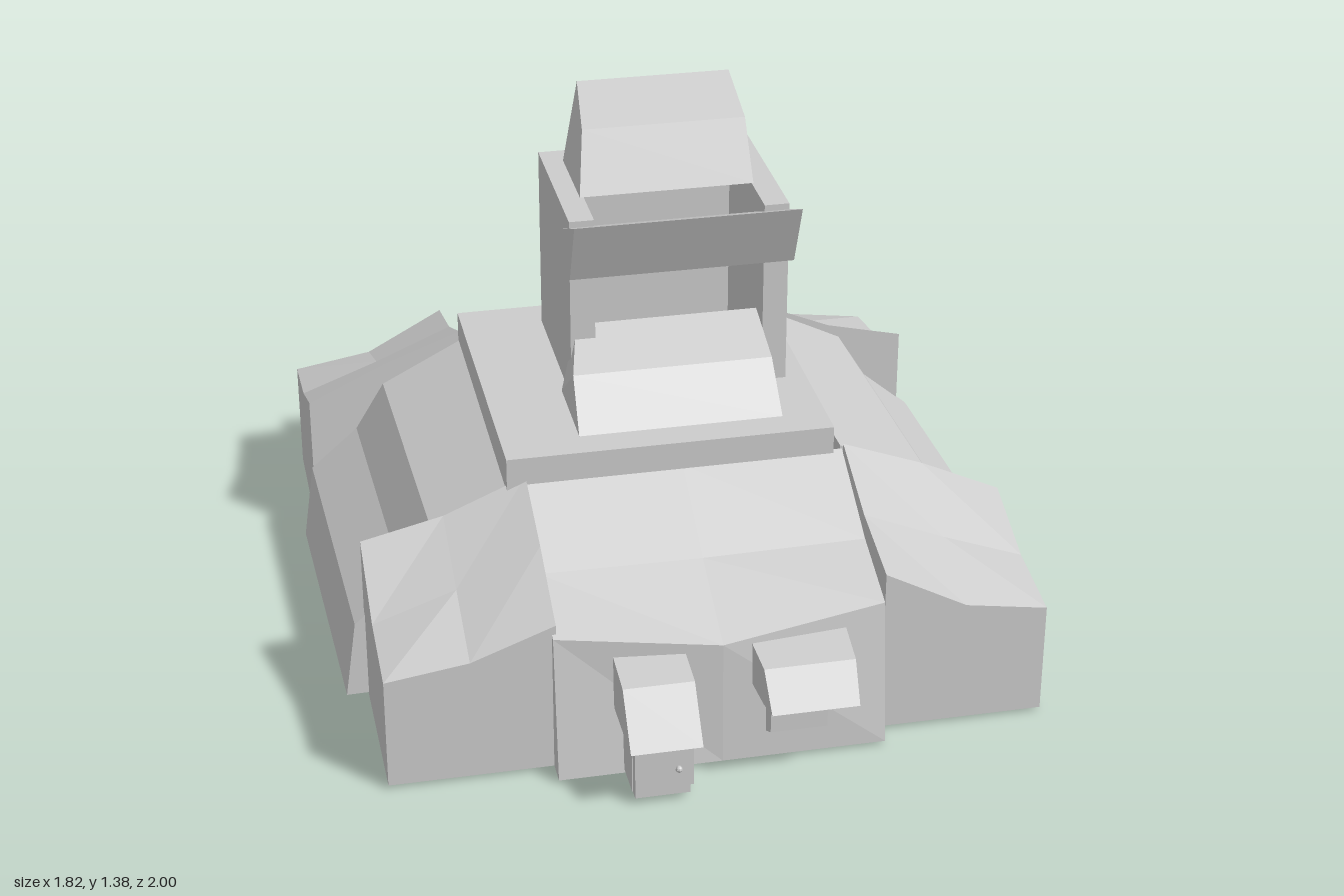
import * as THREE from 'three';

const material = new THREE.MeshStandardMaterial({ color: 0xcccccc, flatShading: true, side: THREE.DoubleSide });

function addMesh(parent, name, geometry, x = 0, y = 0, z = 0) {
  const mesh = new THREE.Mesh(geometry, material);
  mesh.name = name;
  mesh.position.set(x, y, z);
  parent.add(mesh);
  return mesh;
}

// Box given by its limits on each axis
function addBox(parent, name, [x0, x1], [y0, y1], [z0, z1]) {
  return addMesh(parent, name, new THREE.BoxGeometry(x1 - x0, y1 - y0, z1 - z0),
    (x0 + x1) / 2, (y0 + y1) / 2, (z0 + z1) / 2);
}

// Closed solid through rings of [x, y, z], running towards +x
function loft(rings) {
  const out = [];
  const tri = (a, b, c) => out.push(...a, ...b, ...c);
  const n = rings[0].length;
  for (let i = 0; i < rings.length - 1; i++) {
    for (let j = 0; j < n; j++) {
      const k = (j + 1) % n;
      const [a, b, c, d] = [rings[i][j], rings[i][k], rings[i + 1][k], rings[i + 1][j]];
      tri(a, b, c);
      tri(a, c, d);
    }
  }
  const first = rings[0], last = rings[rings.length - 1];
  for (let k = 1; k < n - 1; k++) {
    tri(first[0], first[k + 1], first[k]);
    tri(last[0], last[k], last[k + 1]);
  }
  const geometry = new THREE.BufferGeometry();
  geometry.setAttribute('position', new THREE.Float32BufferAttribute(out, 3));
  geometry.computeVertexNormals();
  return geometry;
}

// Profile of [z, y, inset left, inset right] swept from x0 to x1 (back bottom first, over the top to the front)
function prism(profile, x0, x1) {
  return loft([
    profile.map(([z, y, a = 0]) => [x0 + a, y, z]),
    profile.map(([z, y, a = 0, b = a]) => [x1 - b, y, z]),
  ]);
}

export function createModel() {
  const model = new THREE.Group();
  model.name = 'building';

  // Central block
  addBox(model, 'centralBlock', [-0.45, 0.4], [0, 0.66], [-0.51, 0.34]);

  // Stepped wings at the back and both sides, slightly askew
  const wing = prism([[0, 0.02], [0, 0.595], [0.25, 0.47], [0.33, 0.34], [0.46, 0.23], [0.49, 0.02]], -0.418, 0.418);
  [['leftWing', 0.41, -0.095, Math.PI / 2 + 0.03],
    ['rightWing', -0.405, -0.085, -Math.PI / 2 + 0.03],
    ['backWing', -0.015, -0.505, Math.PI + 0.01]].forEach(([name, x, z, angle]) => {
    addMesh(model, name, wing, x, 0, z).rotation.y = angle;
  });

  // Front wing with a shallow point in the middle
  const edge = [[0.33, 0.01], [0.33, 0.59], [0.57, 0.46], [0.765, 0.39], [0.815, 0.01]];
  const middle = [[0.33, 0.01], [0.33, 0.59], [0.57, 0.455], [0.805, 0.345], [0.815, 0.01]];
  addMesh(model, 'frontWing', loft([[-0.41, edge], [0.005, middle], [0.425, edge]]
    .map(([x, profile]) => profile.map(([z, y]) => [x, y, z]))));

  // Corner blocks: roof heights fall away from the inner corner
  const size = 0.425;
  const heights = [[0.6, 0.51, 0.46], [0.52, 0.42, 0.345], [0.42, 0.34, 0.31]];
  const corner = loft(heights.map((row, i) => {
    const x = i * size / 2;
    return [[x, 0.01, 0], ...row.map((y, j) => [x, y, j * size / 2]), [x, 0.01, size]];
  }));
  [['frontLeftCorner', 0.43, 0.325, 0],
    ['frontRightCorner', -0.4, 0.325, -Math.PI / 2],
    ['backLeftCorner', 0.403, -0.518, Math.PI / 2],
    ['backRightCorner', -0.447, -0.518, Math.PI]].forEach(([name, x, z, angle]) => {
    addMesh(model, name, corner, x, 0, z).rotation.y = angle;
  });

  // Tower: three walls, open at the front and the top
  const tower = new THREE.Group();
  tower.name = 'tower';
  model.add(tower);
  const wallY = [0.66, 1.163];
  addBox(tower, 'backWall', [-0.23, 0.345], wallY, [-0.415, -0.35]);
  addBox(tower, 'rightWall', [-0.23, -0.165], wallY, [-0.35, 0.045]);
  addBox(tower, 'leftWall', [0.28, 0.345], wallY, [-0.35, 0.045]);

  // Hood on top of the tower
  addMesh(tower, 'topHood', prism([[-0.347, 1.163], [-0.347, 1.385, 0.04, 0.012],
    [-0.18, 1.317, 0.022, 0.006], [-0.1, 1.163]], -0.175, 0.285));
  // Canopy across the opening
  addMesh(tower, 'canopy', prism([[-0.015, 1.015], [-0.015, 1.12], [0.15, 1.192], [0.075, 1.015]], -0.235, 0.353));
  // Sloped hood at the foot of the tower
  addMesh(tower, 'lowerHood', prism([[0, 0.66], [0, 0.85, 0.04, 0.012],
    [0.15, 0.78, 0.005, 0.005], [0.255, 0.66]], -0.248, 0.285));

  // Door with porch hood
  const door = new THREE.Group();
  door.name = 'door';
  model.add(door);
  addBox(door, 'doorFrame', [-0.245, -0.09], [0.02, 0.2], [0.75, 0.91]);
  addBox(door, 'doorPanel', [-0.243, -0.105], [0.02, 0.19], [0.91, 0.94]);
  addMesh(door, 'doorKnob', new THREE.SphereGeometry(0.009, 8, 6), -0.135, 0.095, 0.945);
  addMesh(door, 'porchHood', prism([[0.74, 0.19], [0.74, 0.335], [0.9, 0.315], [1, 0.19]], -0.265, -0.087));

  // Window bay with awning
  const bay = new THREE.Group();
  bay.name = 'windowBay';
  model.add(bay);
  addMesh(bay, 'bayBox', prism([[0.75, 0.085], [0.75, 0.23], [0.86, 0.23], [0.86, 0.11], [0.815, 0.085]], 0.115, 0.26));
  addMesh(bay, 'awning', prism([[0.74, 0.225], [0.74, 0.345], [0.9, 0.325, 0.01], [0.97, 0.235, 0.015], [0.9, 0.225, 0.01]], 0.075, 0.325));

  return model;
}
